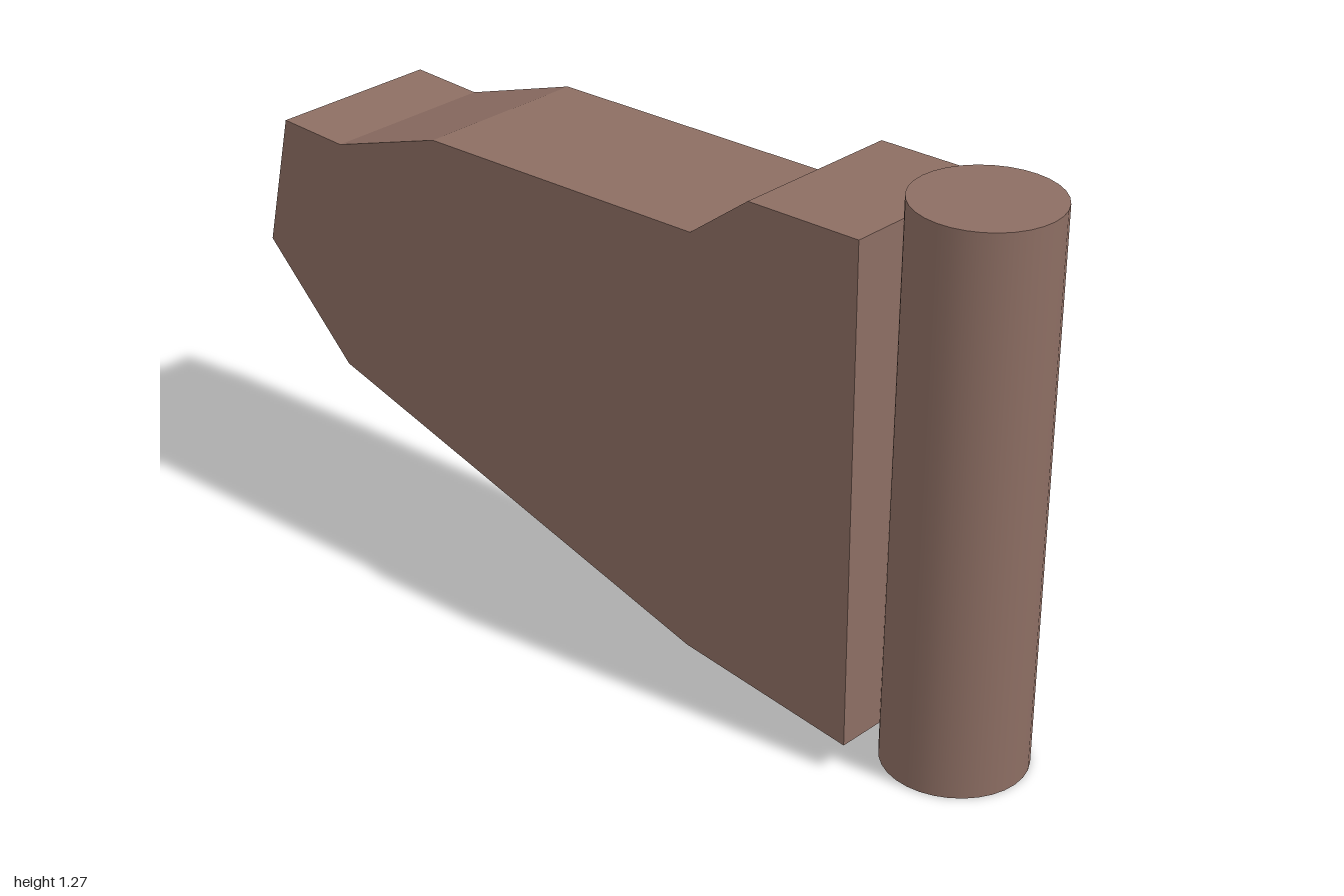
import * as THREE from 'three';

export function createModel() {
  const group = new THREE.Group();
  const brown = new THREE.MeshStandardMaterial({ color: 0x8d6e63 });
  brown.name = 'brown';

  // Slab: side outline as [z, y], extruded across the width
  const width = 0.412;
  const outline = [
    [0.70, 0.073], [0.27, 0.135], [-0.76, 0.45], [-1.0, 0.687], [-0.932, 0.995],
    [-0.755, 0.987], [-0.46, 1.081], [0.272, 1.092], [0.422, 1.204], [0.70, 1.207],
  ];
  const shape = new THREE.Shape(outline.map(([z, y]) => new THREE.Vector2(-z, y)));
  const slab = new THREE.ExtrudeGeometry(shape, { depth: width, bevelEnabled: false });
  slab.translate(0, 0, -width / 2);
  slab.rotateY(Math.PI / 2);
  const body = new THREE.Mesh(slab, brown);
  body.name = 'body';
  group.add(body);

  // Round post along the front edge, leaning very slightly forward
  const post = new THREE.Mesh(new THREE.CylinderGeometry(0.157, 0.157, 1.263, 32), brown);
  post.name = 'frontPost';
  post.position.set(0, 0.638, 0.836);
  post.rotation.x = 0.013;
  group.add(post);

  return group;
}
